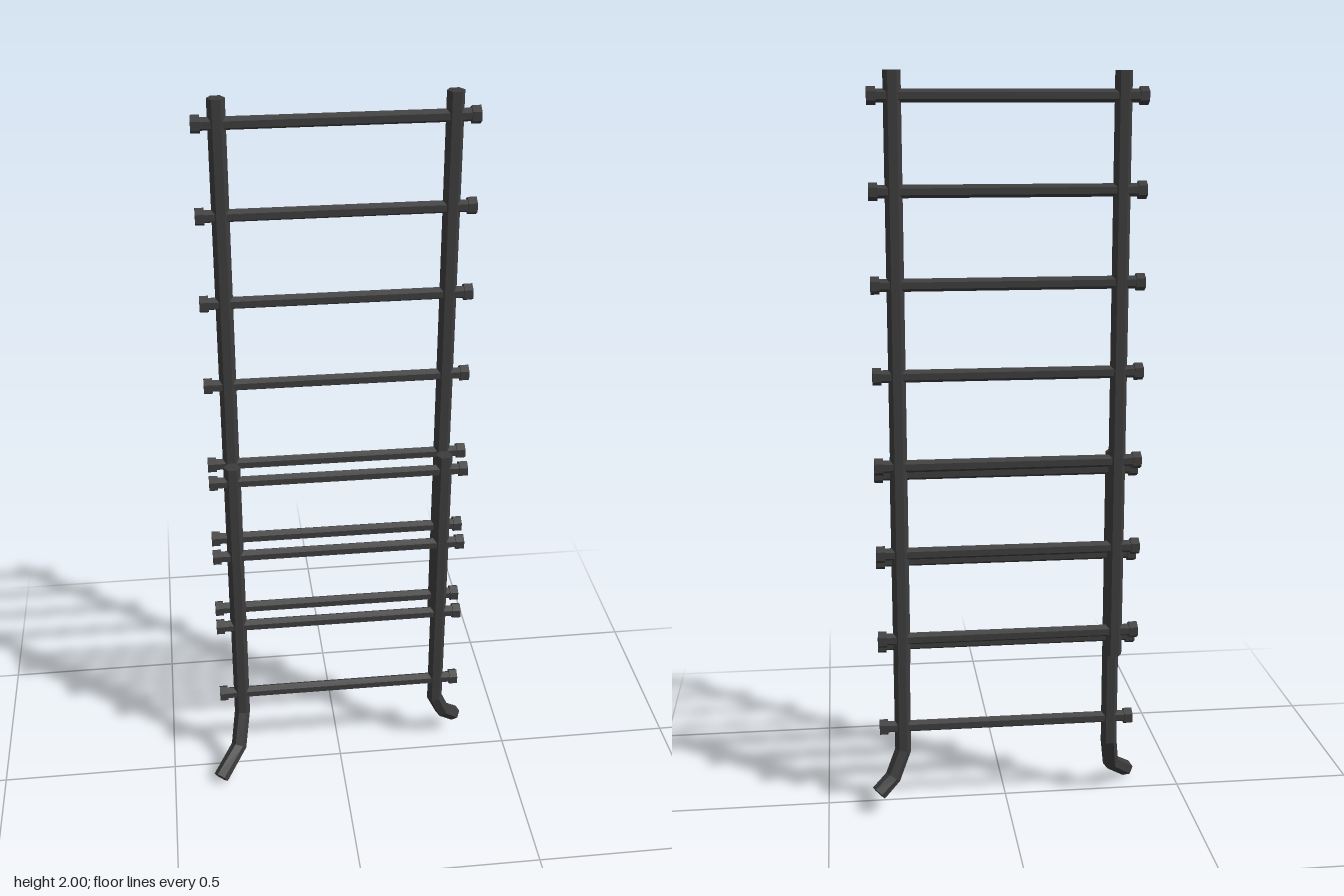
import * as THREE from 'three';

const material = new THREE.MeshStandardMaterial({ color: 0x3c3c3c, flatShading: true });
const RAIL_X = 0.29, RAIL_R = 0.0225;
const v3 = (x, y, z) => new THREE.Vector3(x, y, z);

// Six-sided bar swept along points listed from bottom to top
function hexBar(points, radius) {
  const n = points.length - 1;
  const geo = new THREE.CylinderGeometry(radius, radius, n, 6, n, false, Math.PI / 6);
  const frames = points.map((p, i) => {
    const t = v3(0, 0, 0);
    if (i > 0) t.add(p.clone().sub(points[i - 1]).normalize());
    if (i < n) t.add(points[i + 1].clone().sub(p).normalize());
    t.normalize();
    const u = v3(1, 0, 0).addScaledVector(t, -t.x).normalize();
    return { p, u, w: u.clone().cross(t) };
  });
  const pos = geo.attributes.position;
  for (let i = 0; i < pos.count; i++) {
    const { p, u, w } = frames[Math.round(pos.getY(i) + n / 2)];
    const q = p.clone().addScaledVector(u, pos.getX(i)).addScaledVector(w, pos.getZ(i));
    pos.setXYZ(i, q.x, q.y, q.z);
  }
  geo.computeVertexNormals();
  return geo;
}

function addMesh(group, name, geometry) {
  const mesh = new THREE.Mesh(geometry, material);
  mesh.name = name;
  group.add(mesh);
  return mesh;
}

// Horizontal six-sided rod with an edge on top
function rod(group, name, radius, length, x, y, z) {
  const geo = new THREE.CylinderGeometry(radius, radius, length, 6);
  geo.rotateZ(Math.PI / 2);
  geo.rotateX(Math.PI / 2);
  addMesh(group, name, geo).position.set(x, y, z);
}

// Rungs poke through the rails and end in thicker caps
function addRungs(group, heights, z) {
  for (const y of heights) {
    rod(group, 'rung', 0.0168, 0.69, 0, y, z);
    for (const s of [-1, 1]) rod(group, 'rungCap', 0.023, 0.023, s * 0.342, y, z);
  }
}

export function createModel() {
  const model = new THREE.Group();
  model.name = 'extensionLadder';

  // Lower section, with a bent foot on each rail
  const lower = new THREE.Group();
  lower.name = 'lowerSection';
  const zLow = -0.035;
  addMesh(lower, 'rightRail', hexBar([
    v3(-0.365, 0.02, 0.083), v3(-0.306, 0.077, 0.013),
    v3(-RAIL_X, 0.17, zLow), v3(-RAIL_X, 1.01, zLow),
  ], RAIL_R));
  addMesh(lower, 'leftRail', hexBar([
    v3(0.361, 0.062, -0.077), v3(0.32, 0.098, -0.055),
    v3(RAIL_X, 0.17, zLow), v3(RAIL_X, 1.01, zLow),
  ], RAIL_R));
  addRungs(lower, [0.24, 0.483, 0.723, 0.963], zLow);

  // Upper section, sitting behind the lower one
  const upper = new THREE.Group();
  upper.name = 'upperSection';
  const zUp = -0.08;
  for (const s of [-1, 1]) {
    addMesh(upper, s < 0 ? 'rightRail' : 'leftRail',
      hexBar([v3(s * RAIL_X, 0.445, zUp), v3(s * RAIL_X, 2, zUp)], RAIL_R));
  }
  addRungs(upper, [0.515, 0.755, 0.995, 1.235, 1.47, 1.705, 1.938], zUp);

  model.add(lower, upper);
  return model;
}
